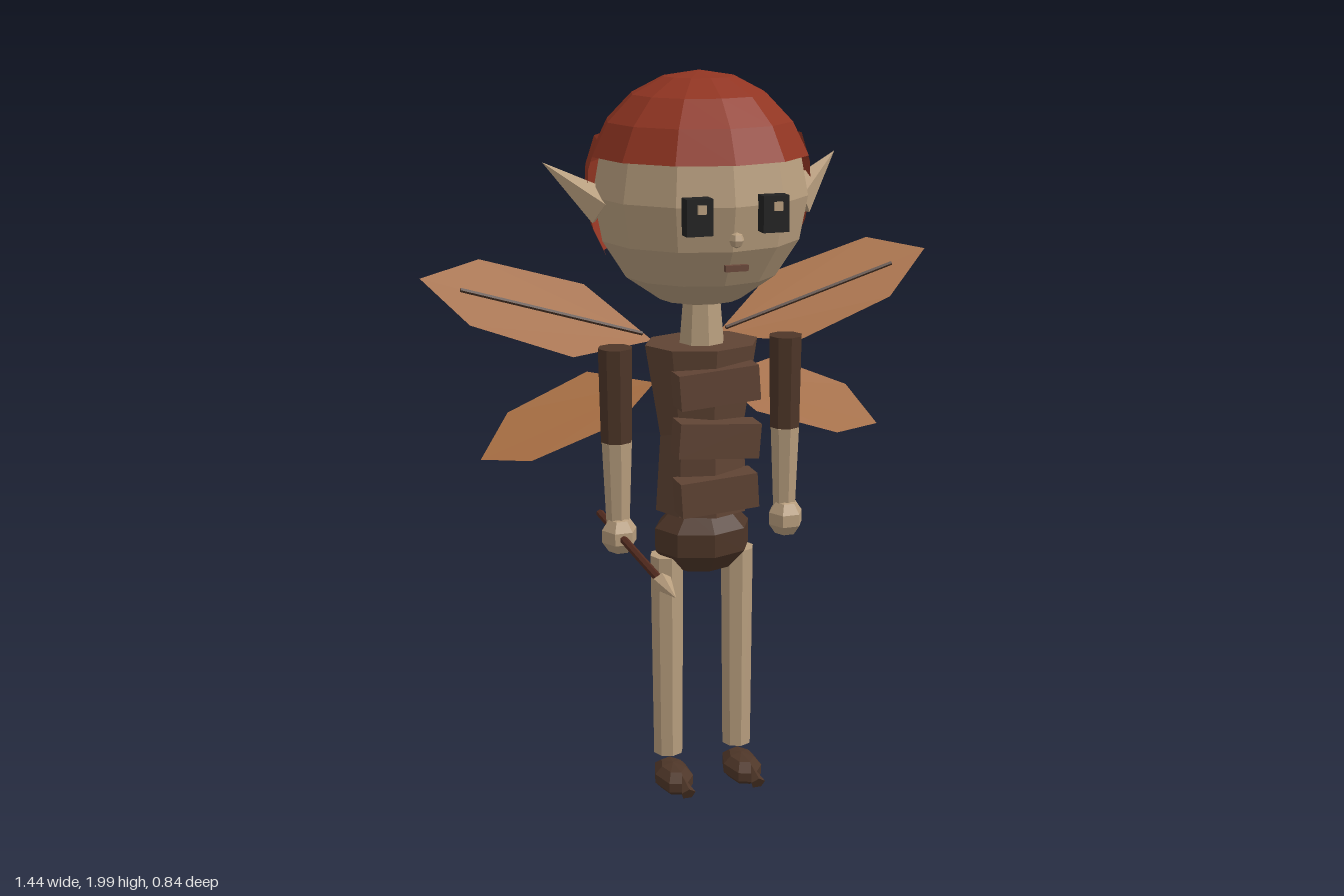
import * as THREE from 'three';

const mat = (name, color, side = THREE.FrontSide) => {
  const m = new THREE.MeshStandardMaterial({ color, side });
  m.name = name;
  return m;
};

export function createModel() {
  const model = new THREE.Group();
  model.name = 'wingedArcher';
  const skin = mat('skin', 0xb89e7e);
  const red = mat('capRed', 0x913522, THREE.DoubleSide);
  const brown = mat('tunicBrown', 0x604434);
  const dark = mat('darkBrown', 0x4e3628);
  const amber = mat('wingAmber', 0xa8682f, THREE.DoubleSide);
  const black = mat('eyeBlack', 0x222222);
  const wood = mat('shaftWood', 0x542c20);
  const mouthRed = mat('mouthBrown', 0x6b4a3c);
  const Z = -0.105; // body axis

  // Faceted mesh
  const add = (name, geo, material, x = 0, y = 0, z = 0, parent = model) => {
    const g = geo.index ? geo.toNonIndexed() : geo;
    g.computeVertexNormals();
    const mesh = new THREE.Mesh(g, material);
    mesh.name = name;
    mesh.position.set(x, y, z);
    parent.add(mesh);
    return mesh;
  };
  const ball = (rx, ry, rz, ws = 8, hs = 6) => new THREE.SphereGeometry(1, ws, hs).scale(rx, ry, rz);
  const tube = (rt, rb, y0, y1, n, sz = 1) =>
    new THREE.CylinderGeometry(rt, rb, y1 - y0, n).scale(1, 1, sz).translate(0, (y0 + y1) / 2, 0);
  // Cylinder or cone running from point a to point b
  const rod = (name, material, a, b, ra, rb, n) => {
    const A = new THREE.Vector3(...a), B = new THREE.Vector3(...b);
    const d = B.clone().sub(A);
    const mesh = add(name, new THREE.CylinderGeometry(rb, ra, d.length(), n), material);
    mesh.position.copy(A).add(B).multiplyScalar(0.5);
    mesh.quaternion.setFromUnitVectors(new THREE.Vector3(0, 1, 0), d.normalize());
    return mesh;
  };

  // Head, cap and hair shell round the back
  add('head', ball(0.287, 0.3, 0.285, 12, 8), skin, 0, 1.685, -0.12);
  add('cap', new THREE.SphereGeometry(0.302, 12, 4, 0, Math.PI * 2, 0, 1.27), red, 0, 1.698, -0.123);
  add('backHair', new THREE.SphereGeometry(0.309, 8, 4, 0, Math.PI, 1.13, 1.02).rotateY(Math.PI),
    red, 0.003, 1.7, -0.115);
  add('neck', tube(0.05, 0.063, 1.28, 1.43, 8), skin, 0, 0, Z);

  // Face
  for (const s of [-1, 1]) {
    add('eye', new THREE.BoxGeometry(0.068, 0.092, 0.042), black, s * 0.1, 1.667, 0.165);
    add('eyeGlint', new THREE.BoxGeometry(0.022, 0.022, 0.008), skin, s * 0.1 + 0.004, 1.687, 0.189);
    rod('ear', skin, [s * 0.262, 1.655, -0.115], [s * 0.405, 1.772, -0.183], 0.054, 0, 5);
  }
  add('nose', ball(0.02, 0.02, 0.02, 6, 4), skin, 0, 1.605, 0.172);
  add('mouth', new THREE.BoxGeometry(0.06, 0.016, 0.014), mouthRed, 0, 1.535, 0.171);

  // Torso
  add('chest', tube(0.158, 0.118, 1.04, 1.29, 8, 0.82).translate(0, 0, 0), brown, 0, 0, Z);
  add('waist', tube(0.117, 0.132, 0.83, 1.05, 8, 0.93), brown, 0, 0, Z);
  add('shorts', ball(0.142, 0.105, 0.115, 8, 5), dark, 0, 0.745, Z);

  // Tilted bands across the chest
  [[1.195, 0.07, 0.22], [1.05, -0.08, 0.225], [0.9, 0.06, 0.215]].forEach(([y, tilt, w]) => {
    const band = add('chestBand', new THREE.BoxGeometry(w, 0.095, 0.075), brown, 0.003, y, 0.005);
    band.rotation.z = tilt;
  });

  // Limbs
  for (const s of [-1, 1]) {
    add('sleeve', tube(0.047, 0.043, 1.03, 1.29, 8), dark, s * 0.24, 0, Z);
    add('forearm', tube(0.042, 0.032, 0.79, 1.035, 8), skin, s * 0.24, 0, Z + 0.003);
    add('hand', ball(0.051, 0.055, 0.055, 6, 5), skin, s * 0.24, 0.775, -0.092);
    add('leg', tube(0.047, 0.042, 0.11, 0.7, 8), skin, s * 0.102, 0, Z);
    add('shoe', ball(0.055, 0.042, 0.094, 7, 5), dark, s * 0.102, 0.05, -0.062);
    rod('shoeTip', dark, [s * 0.102, 0.06, 0.078], [s * 0.102, 0.09, 0.02], 0.021, 0, 5);
  }

  // Arrow in the right hand
  rod('arrowShaft', wood, [-0.24, 0.775, -0.29], [-0.24, 0.775, 0.31], 0.011, 0.011, 6);
  rod('arrowHead', skin, [-0.24, 0.775, 0.3], [-0.24, 0.775, 0.415], 0.026, 0, 6);

  // Wings: flat hexagons whose upper edge leans back
  const wing = (name, pts, z, s) => {
    const [root, tip] = [pts[0], pts[3]];
    const len = Math.hypot(tip[0] - root[0], tip[1] - root[1]);
    const ax = (tip[0] - root[0]) / len, ay = (tip[1] - root[1]) / len;
    const lean = ([x, y]) => z - 0.45 * ((y - root[1]) * ax - (x - root[0]) * ay);
    const pos = [];
    for (let i = 1; i < 5; i++)
      for (const p of [pts[0], pts[i + 1], pts[i]]) pos.push(s * p[0], p[1], lean(p));
    const g = new THREE.BufferGeometry();
    if (s < 0) // keep the winding facing the front on the mirrored side
      for (let i = 0; i < pos.length; i += 9) pos.splice(i + 3, 6, ...pos.slice(i + 6, i + 9), ...pos.slice(i + 3, i + 6));
    g.setAttribute('position', new THREE.Float32BufferAttribute(pos, 3));
    add(name, g, amber);
  };
  for (const s of [-1, 1]) {
    wing('upperWing', [[0.09, 1.265], [0.27, 1.425], [0.555, 1.51], [0.72, 1.475], [0.6, 1.35], [0.325, 1.245]], -0.26, s);
    wing('lowerWing', [[0.09, 1.15], [0.27, 1.185], [0.495, 1.09], [0.58, 0.975], [0.447, 0.965], [0.2, 1.05]], -0.247, s);
    rod('wingRib', dark, [s * 0.12, 1.288, -0.256], [s * 0.615, 1.44, -0.254], 0.006, 0.006, 5);
  }
  return model;
}
